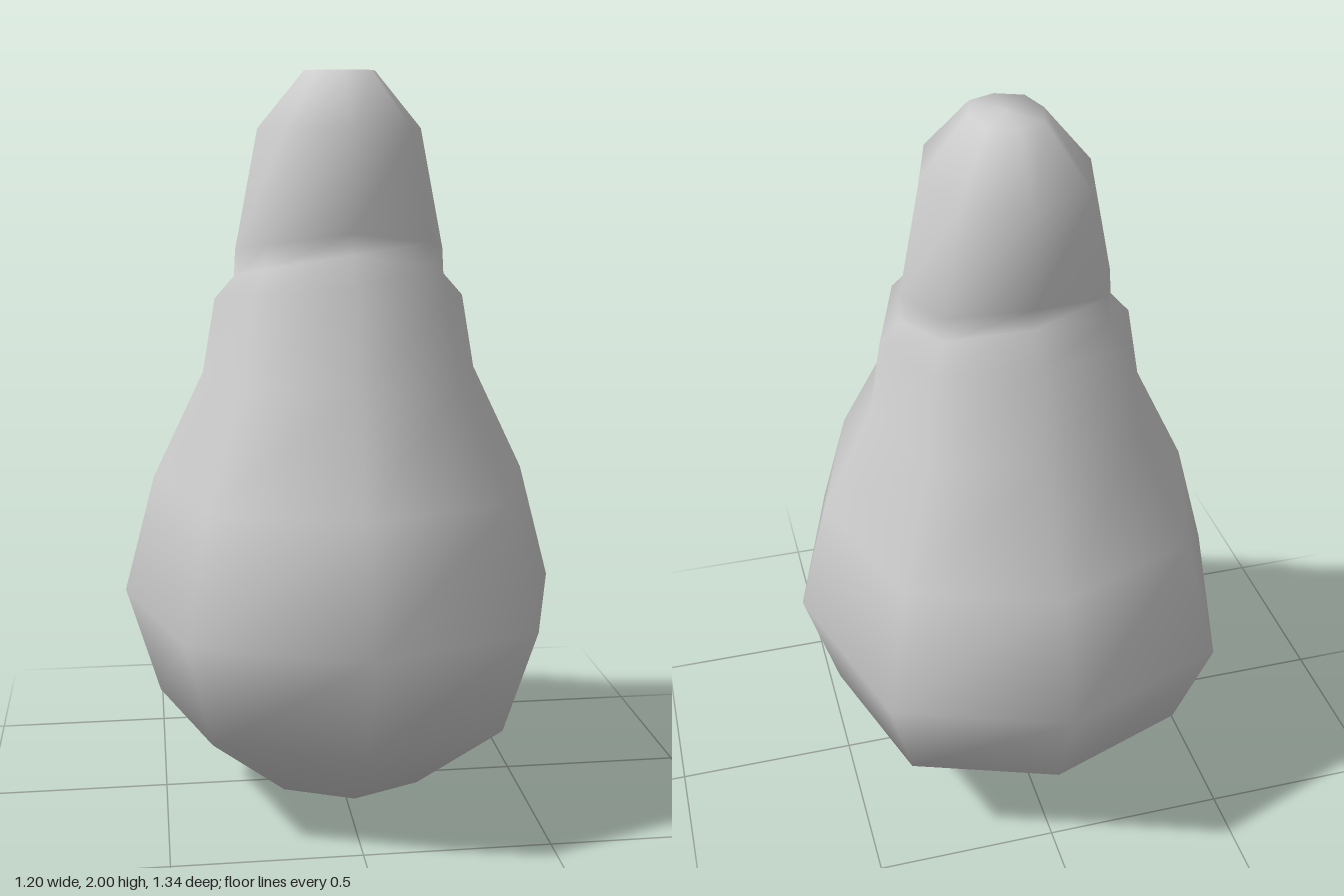
import * as THREE from 'three';

const SIDES = 8;
// half width in x, its height, half depth in z, its height
const RINGS = [
  [0.245, 0.08, 0.33, 0.08],
  [0.51, 0.29, 0.555, 0.29],
  [0.6, 0.59, 0.672, 0.59],
  [0.515, 0.91, 0.555, 0.91],
  [0.375, 1.2, 0.39, 1.2],
  [0.34, 1.4, 0.33, 1.46],
  [0.287, 1.46, 0.264, 1.535],
  [0.283, 1.53, 0.262, 1.59],
  [0.22, 1.85, 0.262, 1.85],
  [0.095, 2.0, 0.118, 2.0],
];

// Closed skin over eight-sided oval rings, with a single point at each end
function ringSkin(rings, bottomY, topY) {
  const positions = [0, bottomY, 0];
  const index = [];
  for (const [rx, yx, rz, yz] of rings) {
    for (let j = 0; j < SIDES; j++) {
      const a = (j / SIDES) * Math.PI * 2;
      const k = j % 2 ? 0.75 / Math.SQRT1_2 : 1; // corners sit slightly outside the oval
      const y = THREE.MathUtils.lerp(yx, yz, Math.sin(a) ** 2);
      positions.push(rx * k * Math.cos(a), y, rz * k * Math.sin(a));
    }
  }
  positions.push(0, topY, 0);
  const top = rings.length * SIDES + 1;
  const id = (i, j) => 1 + i * SIDES + (j % SIDES);
  for (let j = 0; j < SIDES; j++) {
    index.push(0, id(0, j), id(0, j + 1));
    for (let i = 0; i < rings.length - 1; i++) {
      const a = id(i, j), b = id(i, j + 1), c = id(i + 1, j), d = id(i + 1, j + 1);
      index.push(a, c, b, b, c, d);
    }
    index.push(top, id(rings.length - 1, j + 1), id(rings.length - 1, j));
  }
  const geometry = new THREE.BufferGeometry();
  geometry.setAttribute('position', new THREE.Float32BufferAttribute(positions, 3));
  geometry.setIndex(index);
  geometry.computeVertexNormals();
  return geometry;
}

export function createModel() {
  const group = new THREE.Group();
  group.name = 'bulb';
  const body = new THREE.Mesh(
    ringSkin(RINGS, 0, 2),
    new THREE.MeshStandardMaterial({ color: 0xcccccc })
  );
  body.name = 'bulbBody';
  group.add(body);
  return group;
}
